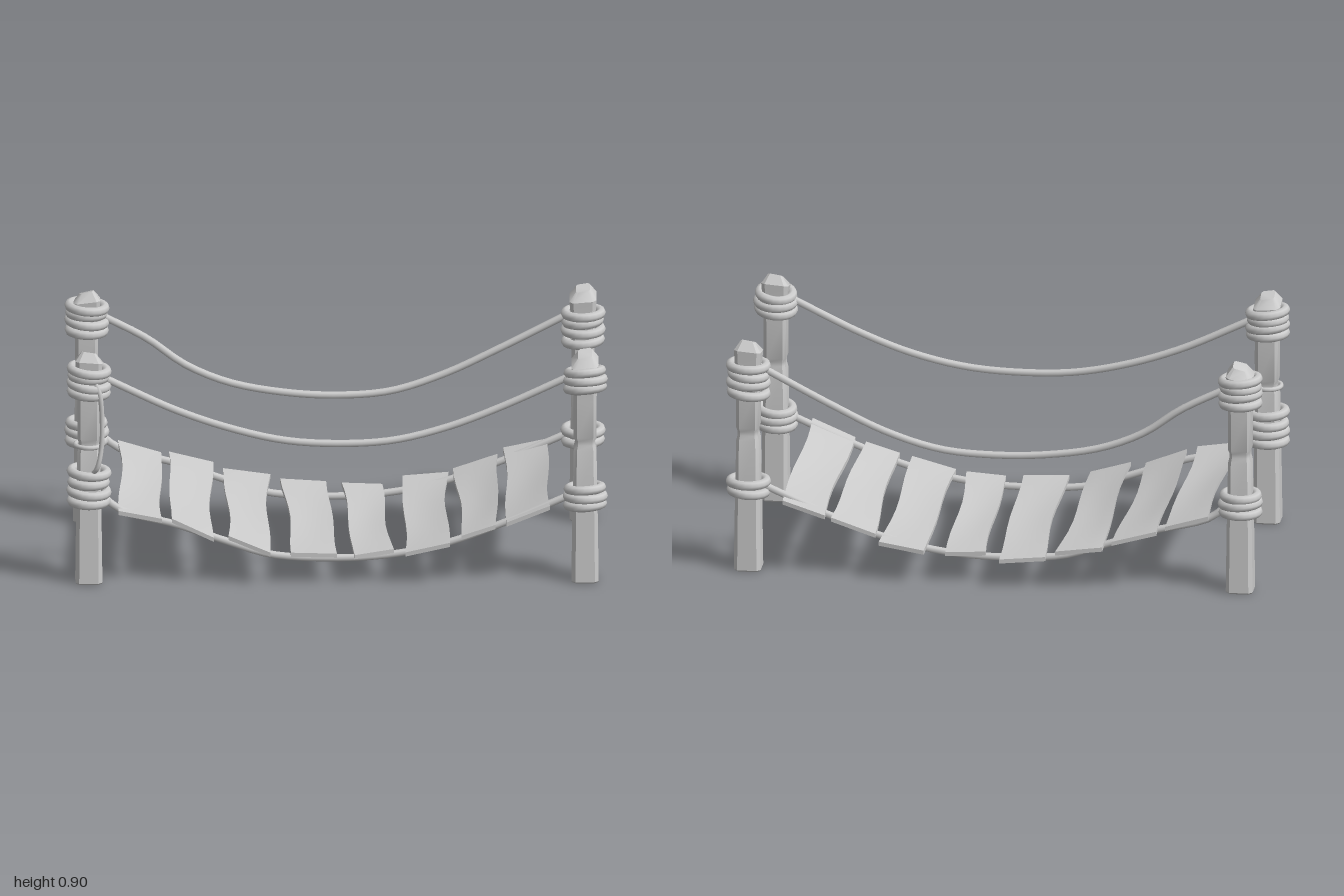
import * as THREE from 'three';
import { toCreasedNormals } from 'three/addons/utils/BufferGeometryUtils.js';

const material = new THREE.MeshStandardMaterial({ color: 0xcccccc });

function add(parent, name, geometry) {
  const mesh = new THREE.Mesh(geometry, material);
  mesh.name = name;
  parent.add(mesh);
  return mesh;
}

// Rope along a few points
function rope(parent, name, points, radius) {
  const curve = new THREE.CatmullRomCurve3(points.map(p => new THREE.Vector3(...p)));
  return add(parent, name, new THREE.TubeGeometry(curve, points.length * 4, radius, 8));
}

// Post: bevelled square sections [y, half width], with a slanted chamfered top
function postGeometry(top, slantX, slantZ) {
  const rings = [[0, 0.045], [0.006, 0.05], [0.3, 0.046], [0.51, 0.042], [0.53, 0.037], [0.545, 0.037],
    [0.56, 0.042], [0.7, 0.042], [0.8, 0.046], [top - 0.04, 0.05], [top - 0.006, 0.026]];
  const corners = [[1, 0.72], [0.72, 1], [-0.72, 1], [-1, 0.72], [-1, -0.72], [-0.72, -1], [0.72, -1], [1, -0.72]];
  const n = corners.length, position = [], index = [];
  rings.forEach(([y, w], r) => corners.forEach(([cx, cz]) => {
    const slant = r > 8 ? cx * slantX + cz * slantZ : 0;
    position.push(cx * w, y + slant, cz * w);
  }));
  for (let r = 0; r < rings.length - 1; r++) {
    for (let i = 0; i < n; i++) {
      const a = r * n + i, b = r * n + (i + 1) % n;
      index.push(a, a + n, b, b, a + n, b + n);
    }
  }
  const last = (rings.length - 1) * n;
  for (let i = 1; i < n - 1; i++) {
    index.push(0, i, i + 1);
    index.push(last, last + i + 1, last + i);
  }
  const geometry = new THREE.BufferGeometry();
  geometry.setAttribute('position', new THREE.Float32BufferAttribute(position, 3));
  geometry.setIndex(index);
  return toCreasedNormals(geometry, 0.6);
}

// Stack of rope turns, each slightly tilted and shifted
function coils(parent, name, heights, tiltX, tiltZ) {
  const group = new THREE.Group();
  group.name = name;
  heights.forEach((y, i) => {
    const turn = add(group, 'ropeTurn', new THREE.TorusGeometry(0.064 + 0.003 * Math.sin(i * 2.3), 0.018, 8, 20));
    turn.geometry.rotateX(Math.PI / 2);
    turn.position.set(0.003 * Math.sin(i * 3), y, 0.003 * Math.cos(i * 2));
    turn.rotation.set(tiltX + 0.03 * Math.sin(i * 2), 0, tiltZ + 0.03 * Math.cos(i * 3));
  });
  parent.add(group);
}

// Plank: box bent so its edges run from the back pair of x values to the front pair
function plankGeometry({ back, front, zBack, zFront, y, waist, twist }) {
  const lerp = THREE.MathUtils.lerp;
  const geometry = new THREE.BoxGeometry(1, 1, 1, 4, 1, 8);
  const p = geometry.attributes.position;
  for (let i = 0; i < p.count; i++) {
    const u = p.getX(i) + 0.5, v = p.getZ(i) + 0.5, s = u - 0.5;
    const bend = Math.sin(v * Math.PI);
    const x = lerp(lerp(back[0], back[1], u), lerp(front[0], front[1], u), v)
      - s * 2 * waist * bend + 0.006 * Math.sin(v * 7 + back[0] * 9);
    const z = lerp(lerp(zBack[0], zBack[1], u), lerp(zFront[0], zFront[1], u), v);
    const h = lerp(y[0], y[1], u) + s * twist * (v - 0.5) * 2 - 0.006 * bend * (1 - 4 * s * s);
    p.setXYZ(i, x, h + p.getY(i) * 0.016, z);
  }
  geometry.computeVertexNormals();
  return geometry;
}

export function createModel() {
  const model = new THREE.Group();
  model.name = 'ropeBridge';

  // Four posts with their rope bindings
  const posts = [
    { name: 'frontRightPost', x: -0.92, z: 0.385, top: 0.89, slant: [-0.004, 0.008],
      upper: [0.735, 0.765, 0.795, 0.82], lower: [0.315, 0.35, 0.385, 0.425], tilt: [0.04, -0.08] },
    { name: 'frontLeftPost', x: 0.91, z: 0.385, top: 0.88, slant: [0.004, -0.012],
      upper: [0.745, 0.775, 0.805], lower: [0.295, 0.325, 0.355], tilt: [-0.14, 0.06] },
    { name: 'backLeftPost', x: 0.91, z: -0.375, top: 0.895, slant: [0.004, -0.008],
      upper: [0.69, 0.73, 0.763, 0.795], lower: [0.305, 0.342], tilt: [0.02, 0.05] },
    { name: 'backRightPost', x: -0.92, z: -0.375, top: 0.885, slant: [0.006, 0.006],
      upper: [0.735, 0.77, 0.80, 0.825], lower: [0.31, 0.345, 0.375], tilt: [0.04, -0.06] },
  ];
  for (const p of posts) {
    const group = new THREE.Group();
    group.name = p.name;
    group.position.set(p.x, 0, p.z);
    add(group, 'post', postGeometry(p.top, ...p.slant));
    coils(group, 'upperBinding', p.upper, ...p.tilt);
    coils(group, 'lowerBinding', p.lower, p.tilt[0] * 0.6, p.tilt[1] * 0.5);
    model.add(group);
  }

  // Loose rope end and thin tie on one front post
  rope(model, 'looseRope', [[-0.9, 0.79, 0.44], [-0.882, 0.75, 0.452], [-0.872, 0.65, 0.45],
    [-0.874, 0.54, 0.456], [-0.89, 0.46, 0.46], [-0.91, 0.43, 0.44]], 0.009);
  const tie = add(model, 'thinTie', new THREE.TorusGeometry(0.05, 0.009, 8, 20));
  tie.rotation.x = Math.PI / 2;
  tie.position.set(-0.92, 0.53, 0.385);

  // Sagging hand ropes; the back one hangs lower
  rope(model, 'frontHandRope', [[-0.88, 0.795, 0.385], [-0.8, 0.755, 0.383], [-0.6, 0.66, 0.38], [-0.4, 0.59, 0.382],
    [-0.2, 0.545, 0.39], [0, 0.533, 0.395], [0.2, 0.545, 0.395], [0.4, 0.592, 0.385], [0.6, 0.668, 0.38], [0.87, 0.795, 0.385]], 0.014);
  rope(model, 'backHandRope', [[-0.88, 0.795, -0.378], [-0.7, 0.7, -0.378], [-0.56, 0.6, -0.375], [-0.4, 0.532, -0.37],
    [-0.2, 0.494, -0.365], [0, 0.482, -0.362], [0.2, 0.497, -0.365], [0.4, 0.56, -0.375], [0.6, 0.655, -0.378], [0.87, 0.795, -0.378]], 0.014);

  // Ropes carrying the deck
  for (const [name, z] of [['frontDeckRope', 0.385], ['backDeckRope', -0.375]]) {
    rope(model, name, [[-0.87, 0.33, z], [-0.8, 0.275, z], [-0.6, 0.22, z], [-0.4, 0.15, z], [-0.25, 0.103, z],
      [0, 0.088, z], [0.2, 0.102, z], [0.4, 0.145, z], [0.6, 0.218, z], [0.87, 0.335, z]], 0.014);
  }

  // Uneven planks: x edges at back and front, end z values, heights of both edges
  const planks = [
    { back: [-0.80, -0.64], front: [-0.81, -0.65], zBack: [-0.41, -0.41], zFront: [0.43, 0.44], y: [0.283, 0.245], waist: 0.008, twist: 0.01 },
    { back: [-0.62, -0.455], front: [-0.62, -0.465], zBack: [-0.445, -0.455], zFront: [0.42, 0.44], y: [0.238, 0.182], waist: 0.006, twist: -0.012 },
    { back: [-0.42, -0.245], front: [-0.405, -0.25], zBack: [-0.455, -0.455], zFront: [0.43, 0.46], y: [0.172, 0.132], waist: 0.01, twist: -0.016 },
    { back: [-0.20, -0.03], front: [-0.17, 0], zBack: [-0.465, -0.475], zFront: [0.435, 0.43], y: [0.118, 0.108], waist: 0.006, twist: 0.004 },
    { back: [0.02, 0.17], front: [0.055, 0.2], zBack: [-0.425, -0.43], zFront: [0.43, 0.41], y: [0.11, 0.115], waist: 0.006, twist: 0.012 },
    { back: [0.24, 0.41], front: [0.245, 0.41], zBack: [-0.475, -0.455], zFront: [0.44, 0.45], y: [0.122, 0.152], waist: 0.008, twist: 0.01 },
    { back: [0.435, 0.6], front: [0.46, 0.585], zBack: [-0.43, -0.43], zFront: [0.425, 0.42], y: [0.172, 0.22], waist: 0.004, twist: -0.008 },
    { back: [0.62, 0.78], front: [0.62, 0.78], zBack: [-0.455, -0.43], zFront: [0.43, 0.435], y: [0.234, 0.288], waist: 0.004, twist: 0.012 },
  ];
  planks.forEach(p => add(model, 'plank', plankGeometry(p)));

  return model;
}
